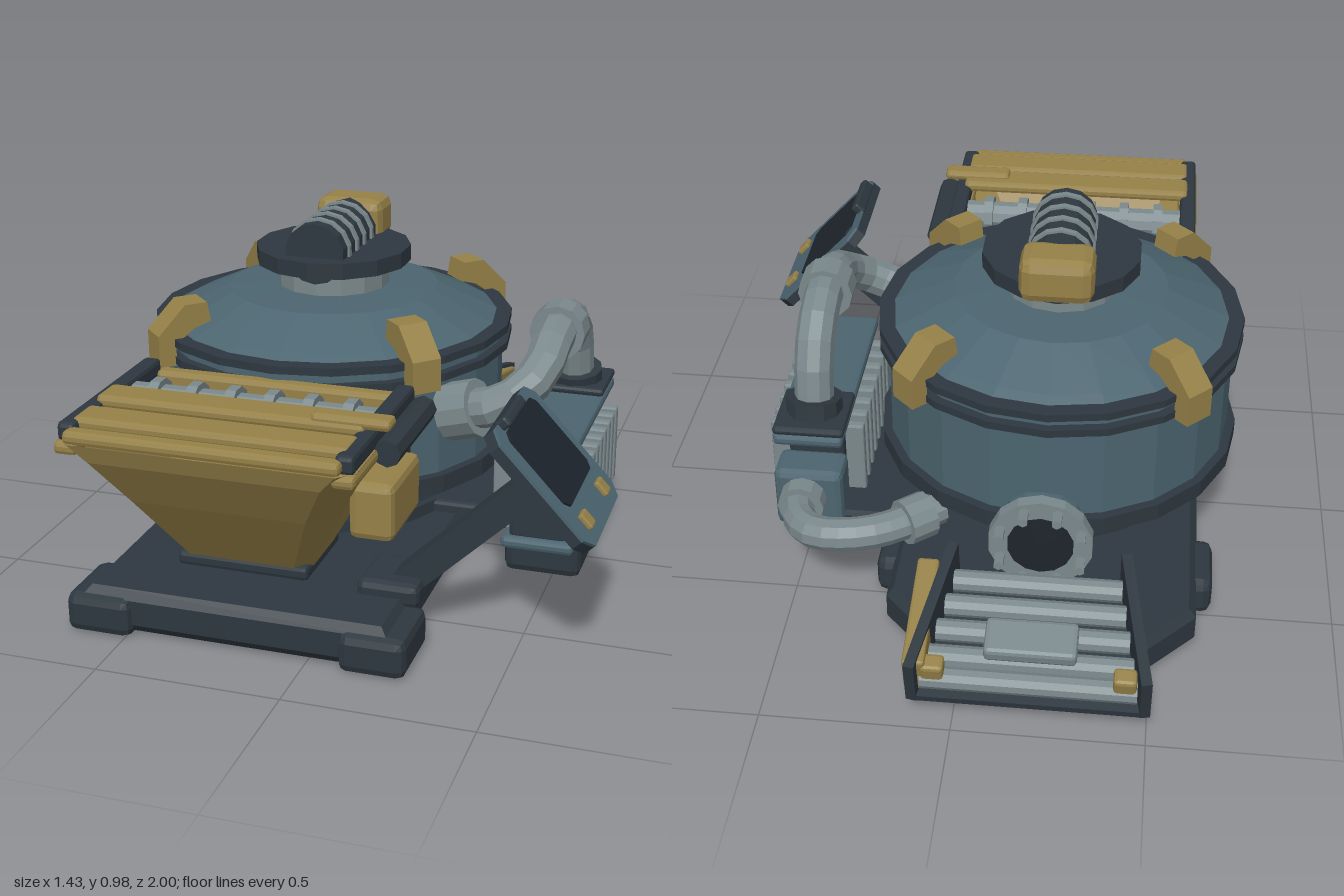
import * as THREE from 'three';
import { RoundedBoxGeometry } from 'three/addons/geometries/RoundedBoxGeometry.js';

export function createModel() {
  const model = new THREE.Group();
  const paint = (name, color) => Object.assign(
    new THREE.MeshStandardMaterial({ color, flatShading: true, side: THREE.DoubleSide }), { name });
  const blue = paint('slate blue', 0x4c6570);
  const dark = paint('dark steel', 0x2e3840);
  const grey = paint('light steel', 0x7b898c);
  const ochre = paint('ochre', 0x968148);
  const black = paint('black glass', 0x1e252c);

  const add = (name, geo, mat, pos = [0, 0, 0], parent = model) => {
    const m = new THREE.Mesh(geo, mat);
    m.name = name;
    m.position.set(...pos);
    parent.add(m);
    return m;
  };
  // Chamfered box given by its extents
  const block = (name, mat, [x0, x1], [y0, y1], [z0, z1], bevel = 0.012, parent = model) => {
    const s = [x1 - x0, y1 - y0, z1 - z0];
    const b = Math.min(bevel, Math.min(...s) * 0.4);
    return add(name, new RoundedBoxGeometry(...s, 1, b), mat,
      [(x0 + x1) / 2, (y0 + y1) / 2, (z0 + z1) / 2], parent);
  };
  // Cylinder between two points
  const rod = (name, mat, a, b, r, sides = 12, parent = model) => {
    const p = new THREE.Vector3(...a), q = new THREE.Vector3(...b), d = q.clone().sub(p);
    const m = add(name, new THREE.CylinderGeometry(r, r, d.length(), sides), mat,
      p.clone().add(q).multiplyScalar(0.5).toArray(), parent);
    m.quaternion.setFromUnitVectors(new THREE.Vector3(0, 1, 0), d.normalize());
    return m;
  };
  const pipe = (name, pts, r) => add(name, new THREE.TubeGeometry(
    new THREE.CatmullRomCurve3(pts.map(p => new THREE.Vector3(...p)), false, 'centripetal'), 14, r, 10), grey);
  const CX = -0.2, CZ = -0.02;
  const lathe = (name, mat, pts, sides = 20) => add(name,
    new THREE.LatheGeometry(pts.map(p => new THREE.Vector2(...p)), sides), mat, [CX, 0, CZ]);

  // Base plate with cut corners
  const plate = new THREE.Shape([[-0.6, -0.8], [0.2, -0.8], [0.2, 0.62], [0.06, 0.77], [-0.46, 0.77], [-0.6, 0.62]]
    .map(p => new THREE.Vector2(...p)));
  const plateGeo = new THREE.ExtrudeGeometry(plate,
    { depth: 0.07, bevelThickness: 0.025, bevelSize: 0.02, bevelSegments: 1 }).rotateX(-Math.PI / 2);
  add('basePlate', plateGeo, dark, [0, 0.035, 0]);
  for (const [x0, x1] of [[-0.665, -0.48], [0.09, 0.27]]) {
    block('frontFoot', dark, [x0, x1], [0, 0.11], [0.62, 0.84], 0.025);
    block('rearFoot', dark, [x0, x1], [0, 0.11], [-0.5, -0.3], 0.025);
  }

  // Drum, rims and dome
  lathe('turntable', dark, [[0, 0.12], [0.36, 0.12], [0.36, 0.165], [0, 0.165]]);
  lathe('drumUnderside', blue, [[0.33, 0.16], [0.4, 0.205], [0.47, 0.285]]);
  lathe('lowerRim', dark, [[0.45, 0.28], [0.515, 0.28], [0.515, 0.33], [0.48, 0.33]]);
  lathe('drumWall', blue, [[0.49, 0.32], [0.49, 0.66]]);
  for (const y of [0.605, 0.655])
    lathe('upperRim', dark, [[0.48, y], [0.515, y], [0.515, y + 0.022], [0.46, y + 0.022]]);
  lathe('dome', blue, [[0.475, 0.675], [0.445, 0.69], [0.3, 0.757], [0.14, 0.765]]);
  lathe('neck', grey, [[0.16, 0.75], [0.16, 0.84]], 14);
  lathe('capDisc', dark, [[0, 0.83], [0.222, 0.83], [0.222, 0.875], [0, 0.875]], 14);

  // Motor on the cap
  rod('motor', dark, [CX, 0.885, -0.17], [CX, 0.885, 0.145], 0.087, 14);
  for (const z of [0.1, 0.033, -0.033, -0.1])
    rod('motorFin', grey, [CX, 0.885, z - 0.009], [CX, 0.885, z + 0.009], 0.094, 14);
  block('motorHead', ochre, [-0.3, -0.1], [0.845, 0.972], [-0.28, -0.14], 0.03);

  // Four clamps over the dome edge
  const clampShape = new THREE.Shape([[0.40, 0.715], [0.41, 0.77], [0.475, 0.77], [0.555, 0.69],
    [0.555, 0.6], [0.505, 0.6], [0.505, 0.66], [0.45, 0.7]].map(p => new THREE.Vector2(...p)));
  const clampGeo = new THREE.ExtrudeGeometry(clampShape, { depth: 0.085, bevelEnabled: false }).translate(0, 0, -0.0425);
  for (let i = 0; i < 4; i++)
    add('clamp', clampGeo, ochre, [CX, 0, CZ]).rotation.y = Math.PI / 4 + i * Math.PI / 2;

  // Hopper shell from chamfered rectangular loops: y, half width, back, front, chamfer
  const HX = -0.195;
  const loops = [[0.22, 0.18, 0.5, 0.74, 0.04], [0.43, 0.3, 0.47, 0.89, 0.07],
    [0.56, 0.37, 0.46, 0.975, 0.07], [0.61, 0.385, 0.455, 0.995, 0.04]];
  const pos = [], idx = [];
  loops.forEach(([y, w, b, f, c], k) => {
    [[-w + c, f], [w - c, f], [w, f - c], [w, b + c], [w - c, b], [-w + c, b], [-w, b + c], [-w, f - c]]
      .forEach(([x, z], i) => {
        pos.push(HX + x, y, z);
        if (k < loops.length - 1) {
          const a = k * 8 + i, n = k * 8 + (i + 1) % 8;
          idx.push(a, n, n + 8, a, n + 8, a + 8);
        }
      });
  });
  const shell = new THREE.BufferGeometry();
  shell.setAttribute('position', new THREE.Float32BufferAttribute(pos, 3));
  shell.setIndex(idx);
  shell.computeVertexNormals();
  add('hopperShell', shell, ochre);
  block('hopperFloor', dark, [-0.375, -0.015], [0.195, 0.235], [0.49, 0.75]);
  block('hopperMount', dark, [-0.56, 0.16], [0.4, 0.5], [0.4, 0.48]);
  block('hopperBackRim', ochre, [-0.53, 0.14], [0.58, 0.63], [0.45, 0.5]);
  for (const [z0, z1, y] of [[0.71, 0.81, 0.67], [0.84, 0.94, 0.66], [0.95, 1, 0.645]])
    block('hopperSlat', ochre, [-0.55, 0.16], [y - 0.035, y], [z0, z1]);
  for (const x of [-0.553, 0.163]) {
    block('hopperRail', dark, [x - 0.024, x + 0.024], [0.605, 0.655], [0.46, 0.97]);
    block('hopperSideRim', ochre, [x - 0.03, x + 0.03], [0.575, 0.61], [0.46, 0.985]);
  }
  rod('roller', grey, [-0.53, 0.6, 0.63], [0.14, 0.6, 0.63], 0.045, 10);
  for (let i = 0; i < 6; i++) {
    const x = -0.46 + i * 0.106;
    rod('rollerRing', grey, [x - 0.014, 0.6, 0.63], [x + 0.014, 0.6, 0.63], 0.062, 10);
  }
  block('gearbox', ochre, [0.14, 0.255], [0.4, 0.55], [0.64, 0.88], 0.02);
  rod('gearShaft', dark, [0.215, 0.6, 0.48], [0.215, 0.6, 0.8], 0.035, 8);
  block('leverArm', ochre, [0.02, 0.225], [0.655, 0.685], [0.745, 0.805]);

  // Radiator module beside the drum
  block('radiatorFoot', dark, [0.36, 0.58], [0, 0.12], [-0.15, 0.16], 0.025);
  block('radiatorArm', dark, [0.12, 0.45], [0.1, 0.165], [-0.36, 0.1]);
  block('radiatorBase', blue, [0.37, 0.575], [0.115, 0.15], [-0.27, 0.25]);
  block('radiatorCore', dark, [0.39, 0.55], [0.14, 0.41], [-0.27, 0.23]);
  block('radiatorTop', blue, [0.375, 0.57], [0.395, 0.43], [-0.37, 0.265]);
  block('radiatorEnd', blue, [0.38, 0.575], [0.12, 0.31], [-0.38, -0.26], 0.02);
  block('radiatorFlange', dark, [0.37, 0.57], [0.43, 0.455], [-0.37, -0.17]);
  for (let i = 0; i < 8; i++) {
    const z = 0.19 - i * 0.06;
    block('radiatorFin', grey, [0.337, 0.605], [0.155, 0.385], [z - 0.015, z + 0.015], 0.006);
  }

  // Upper and lower pipes
  pipe('upperPipe', [[0.22, 0.51, 0.25], [0.38, 0.56, 0.285], [0.455, 0.62, 0.22], [0.47, 0.68, 0.11],
    [0.47, 0.69, -0.1], [0.47, 0.62, -0.21], [0.47, 0.44, -0.26]], 0.055);
  rod('pipeCollar', grey, [0.47, 0.688, -0.035], [0.47, 0.688, 0.045], 0.078);
  rod('pipeCollar', grey, [0.22, 0.505, 0.25], [0.31, 0.535, 0.27], 0.08);
  rod('pipeSocket', dark, [0.47, 0.44, -0.26], [0.47, 0.49, -0.25], 0.08);
  pipe('lowerPipe', [[0.49, 0.23, -0.35], [0.49, 0.23, -0.46], [0.43, 0.24, -0.54], [0.31, 0.25, -0.55],
    [0.22, 0.25, -0.51], [0.1, 0.25, -0.41]], 0.047);
  rod('pipeCollar', grey, [0.49, 0.23, -0.38], [0.49, 0.23, -0.43], 0.065);
  rod('pipeCollar', grey, [0.13, 0.25, -0.44], [0.19, 0.25, -0.49], 0.065);

  // Outlet port with bolts
  const port = new THREE.Group();
  port.name = 'outletPort';
  port.position.set(HX, 0.29, 0);
  model.add(port);
  rod('outletNeck', blue, [0, 0, -0.44], [0, 0, -0.56], 0.115, 14, port);
  rod('outletFlange', grey, [0, 0, -0.555], [0, 0, -0.59], 0.142, 14, port);
  rod('outletHole', black, [0, 0, -0.58], [0, 0, -0.595], 0.09, 14, port);
  for (let i = 0; i < 8; i++) {
    const x = 0.117 * Math.cos(i * Math.PI / 4 + 0.39), y = 0.117 * Math.sin(i * Math.PI / 4 + 0.39);
    rod('outletBolt', grey, [x, y, -0.58], [x, y, -0.635], 0.014, 6, port);
  }

  // Sloping rear chute with rollers
  const chute = new THREE.Group();
  chute.name = 'chute';
  chute.position.set(HX, 0.15, -0.575);
  chute.rotation.x = -0.22;
  model.add(chute);
  const floor = new THREE.Shape([[-0.23, 0], [0.23, 0], [0.3, 0.4], [-0.3, 0.4]].map(p => new THREE.Vector2(...p)));
  add('chuteFloor', new THREE.ExtrudeGeometry(floor, { depth: 0.02, bevelEnabled: false }).rotateX(-Math.PI / 2),
    dark, [0, 0, 0], chute);
  for (const s of [-1, 1]) {
    add('chuteWall', new THREE.BoxGeometry(0.028, 0.15, 0.405), dark, [s * 0.265, 0.075, -0.2], chute).rotation.y = -s * 0.17;
    block('chuteBracket', ochre, [s * 0.245 - 0.03, s * 0.245 + 0.03], [0.06, 0.125], [-0.385, -0.335], 0.01, chute);
  }
  block('chuteSidePanel', ochre, [0.262, 0.32], [0.02, 0.14], [-0.38, -0.05], 0.008, chute);
  [0.06, 0.14, 0.22, 0.3, 0.365].forEach(d => {
    const w = 0.215 + d * 0.17;
    rod('chuteRoller', grey, [-w, 0.06, -d], [w, 0.06, -d], 0.03, 10, chute);
  });
  block('chuteSensor', grey, [-0.12, 0.12], [0.08, 0.125], [-0.32, -0.21], 0.012, chute);

  // Tilted control console on a slanted post
  block('consoleMount', dark, [0.08, 0.25], [0.1, 0.17], [0.47, 0.65], 0.02);
  const post = add('consolePost', new THREE.BoxGeometry(0.55, 0.075, 0.075), dark, [0.375, 0.315, 0.555]);
  post.rotation.z = 0.76;
  const desk = new THREE.Group();
  desk.name = 'console';
  desk.position.set(0.575, 0.51, 0.555);
  desk.rotation.z = -0.82;
  model.add(desk);
  const panel = (name, mat, w, d, c, y, h) => {
    const s = new THREE.Shape([[-w, -d + c], [-w + c, -d], [w - c, -d], [w, -d + c], [w, d - c], [w - c, d],
      [-w + c, d], [-w, d - c]].map(p => new THREE.Vector2(...p)));
    return add(name, new THREE.ExtrudeGeometry(s, { depth: h, bevelEnabled: false }).rotateX(-Math.PI / 2), mat, [0, y, 0], desk);
  };
  panel('consoleBack', dark, 0.188, 0.188, 0.035, -0.02, 0.03);
  panel('consoleFace', blue, 0.188, 0.188, 0.035, 0.01, 0.008);
  panel('screen', black, 0.12, 0.14, 0.02, 0.018, 0.006).position.x = -0.04;
  for (const z of [-0.1, 0.105])
    block('consoleButton', ochre, [0.11, 0.155], [0.015, 0.032], [z - 0.022, z + 0.022], 0.005, desk);
  block('consoleHood', dark, [-0.195, -0.165], [0.005, 0.045], [-0.045, 0.125], 0.008, desk);

  return model;
}
